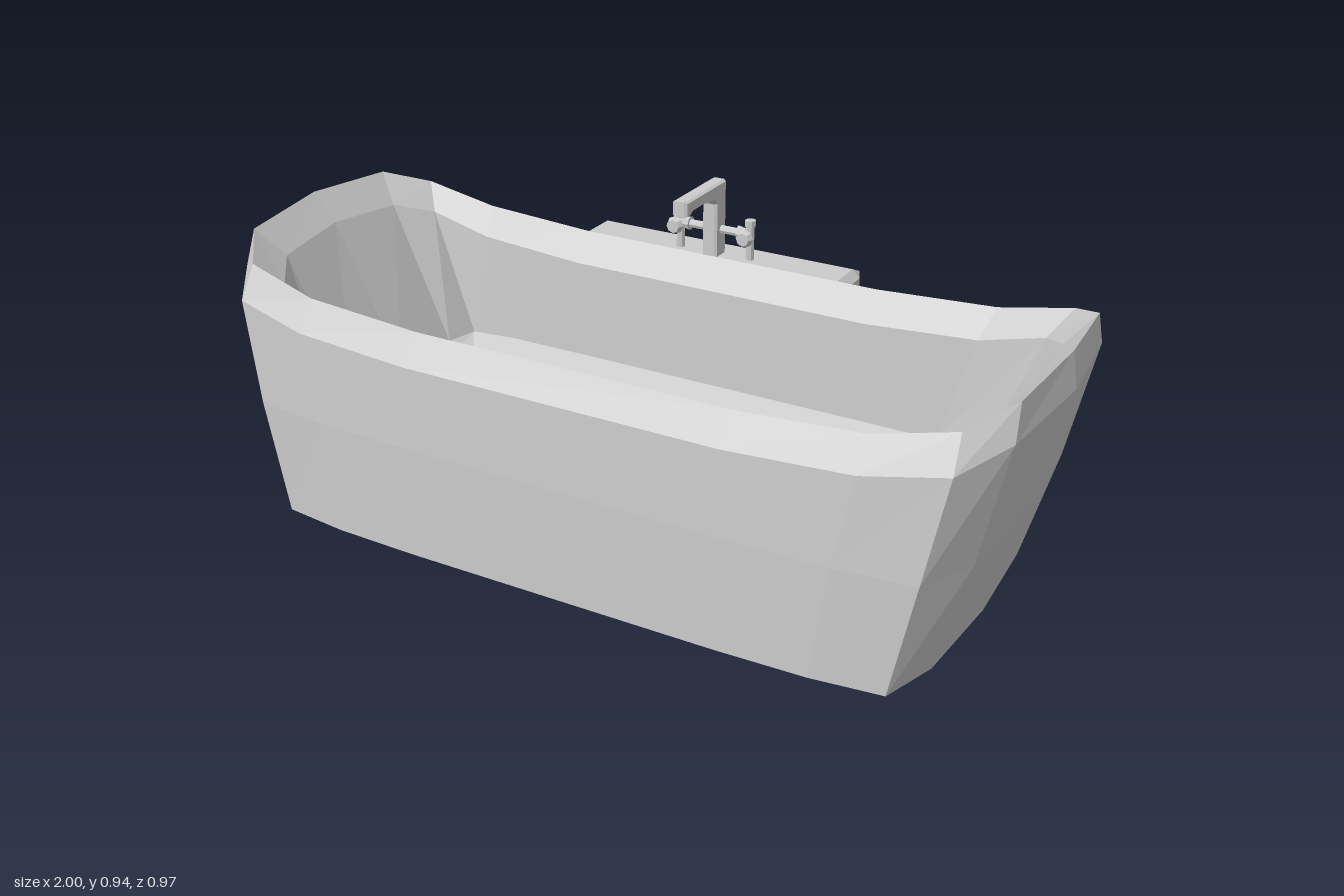
import * as THREE from 'three';
import { ConvexGeometry } from 'three/addons/geometries/ConvexGeometry.js';

const material = new THREE.MeshStandardMaterial({ color: 0xcccccc, flatShading: true });

function add(parent, name, geometry, x = 0, y = 0, z = 0) {
  const mesh = new THREE.Mesh(geometry, material);
  mesh.name = name;
  mesh.position.set(x, y, z);
  parent.add(mesh);
  return mesh;
}

// Mirrors a quarter outline of [x, y, z] points (end to long side) into a closed ring.
function fullRing(quarter) {
  const flip = (pts, sx, sz) => pts.map(([x, y, z]) => [x * sx, y, z * sz]);
  const back = [...quarter].reverse();
  return [
    ...quarter,
    ...flip(back, -1, 1),
    ...flip(quarter.slice(1), -1, -1),
    ...flip(back.slice(0, -1), 1, -1),
  ];
}

// Joins successive rings with triangles.
function loft(rings) {
  const n = rings[0].length;
  const index = [];
  for (let r = 0; r < rings.length - 1; r++) {
    for (let i = 0; i < n; i++) {
      const j = (i + 1) % n;
      const a = r * n + i, b = r * n + j, c = a + n, d = b + n;
      if (r > 0) index.push(a, c, b);
      if (r < rings.length - 2) index.push(b, c, d);
      else index.push(a, c, b);
    }
  }
  const geometry = new THREE.BufferGeometry();
  geometry.setAttribute('position', new THREE.Float32BufferAttribute(rings.flat(2), 3));
  geometry.setIndex(index);
  geometry.computeVertexNormals();
  return geometry;
}

function tubGeometry() {
  const level = (y, pts) => pts.map(([x, z]) => [x, y, z]);
  const centre = (y) => level(y, Array(5).fill([0, 0]));
  const sections = [
    centre(0.22),
    // outer wall
    level(0.22, [[0.85, 0], [0.835, 0.27], [0.79, 0.41], [0.62, 0.43], [0.4, 0.436]]),
    level(0.5, [[0.928, 0], [0.91, 0.28], [0.845, 0.41], [0.66, 0.43], [0.4, 0.435]]),
    // outer edge, crest and inner edge of the rim
    [[1, 0.8, 0], [0.97, 0.79, 0.28], [0.89, 0.75, 0.395], [0.7, 0.715, 0.418], [0.4, 0.7, 0.425]],
    [[0.987, 0.885, 0], [0.965, 0.87, 0.25], [0.885, 0.828, 0.35], [0.7, 0.785, 0.368], [0.4, 0.767, 0.372]],
    [[0.925, 0.815, 0], [0.905, 0.80, 0.21], [0.84, 0.765, 0.3], [0.68, 0.72, 0.31], [0.4, 0.7, 0.312]],
    // basin floor
    level(0.45, [[0.745, 0], [0.74, 0.2], [0.72, 0.285], [0.6, 0.3], [0.4, 0.302]]),
    level(0.42, [[0.72, 0], [0.71, 0.15], [0.68, 0.22], [0.55, 0.23], [0.4, 0.23]]),
    centre(0.42),
  ];
  return loft(sections.map(fullRing));
}

// Box with wide bevels along z and narrow ones across x and y.
function bevelledSlab(w, h, d, narrow, wide) {
  const points = [];
  for (const sx of [-1, 1]) for (const sy of [-1, 1]) for (const sz of [-1, 1]) {
    const x = w / 2, y = h / 2, z = d / 2;
    for (const [px, py, pz] of [
      [x - narrow, y - narrow, z],
      [x, y - narrow, z - wide],
      [x - narrow, y, z - wide],
    ]) points.push(new THREE.Vector3(sx * px, sy * py, sz * pz));
  }
  return new ConvexGeometry(points);
}

// Column and spout drawn in the side plane (forward, up), then given width.
function spoutGeometry() {
  const shape = new THREE.Shape();
  [[-0.391, 0.75], [-0.349, 0.75], [-0.349, 0.895], [-0.335, 0.91], [-0.27, 0.917], [-0.222, 0.916],
    [-0.21, 0.909], [-0.195, 0.909], [-0.195, 0.941], [-0.391, 0.941]]
    .forEach(([f, u], i) => (i ? shape.lineTo(f, u) : shape.moveTo(f, u)));
  const geometry = new THREE.ExtrudeGeometry(shape, {
    depth: 0.026, bevelEnabled: true, bevelSize: 0.004, bevelThickness: 0.007, bevelSegments: 1,
  });
  geometry.translate(0, 0, -0.013);
  geometry.rotateY(-Math.PI / 2);
  return geometry;
}

export function createModel() {
  const model = new THREE.Group();
  model.name = 'bathtub';

  add(model, 'tub', tubGeometry(), 0, 0, 0.05);
  add(model, 'backPanel', bevelledSlab(0.745, 0.755, 0.192, 0.02, 0.045), -0.067, 0.3775, -0.391);

  // Tap with a spout and two handles
  const tap = new THREE.Group();
  tap.name = 'tap';
  tap.position.x = -0.063;
  model.add(tap);
  add(tap, 'spout', spoutGeometry());
  const bar = add(tap, 'crossBar', new THREE.CylinderGeometry(0.011, 0.011, 0.2, 8), 0, 0.822, -0.372);
  bar.rotation.z = Math.PI / 2;

  for (const side of [-1, 1]) {
    const handle = new THREE.Group();
    handle.name = side > 0 ? 'leftHandle' : 'rightHandle';
    handle.position.x = side * 0.098;
    tap.add(handle);
    add(handle, 'post', new THREE.CylinderGeometry(0.011, 0.011, 0.106, 8), 0, 0.804, -0.376);
    add(handle, 'postCap', new THREE.CylinderGeometry(0.014, 0.014, 0.016, 8), 0, 0.85, -0.376);
    const stem = add(handle, 'stem', new THREE.CylinderGeometry(0.009, 0.009, 0.04, 8), 0, 0.82, -0.357);
    const knob = add(handle, 'knob', new THREE.CylinderGeometry(0.017, 0.023, 0.014, 8), 0, 0.82, -0.339);
    stem.rotation.x = knob.rotation.x = Math.PI / 2;
    const collar = add(handle, 'collar', new THREE.CylinderGeometry(0.018, 0.013, 0.022, 8), -side * 0.02, 0.822, -0.372);
    collar.rotation.z = side * Math.PI / 2;
  }
  return model;
}
